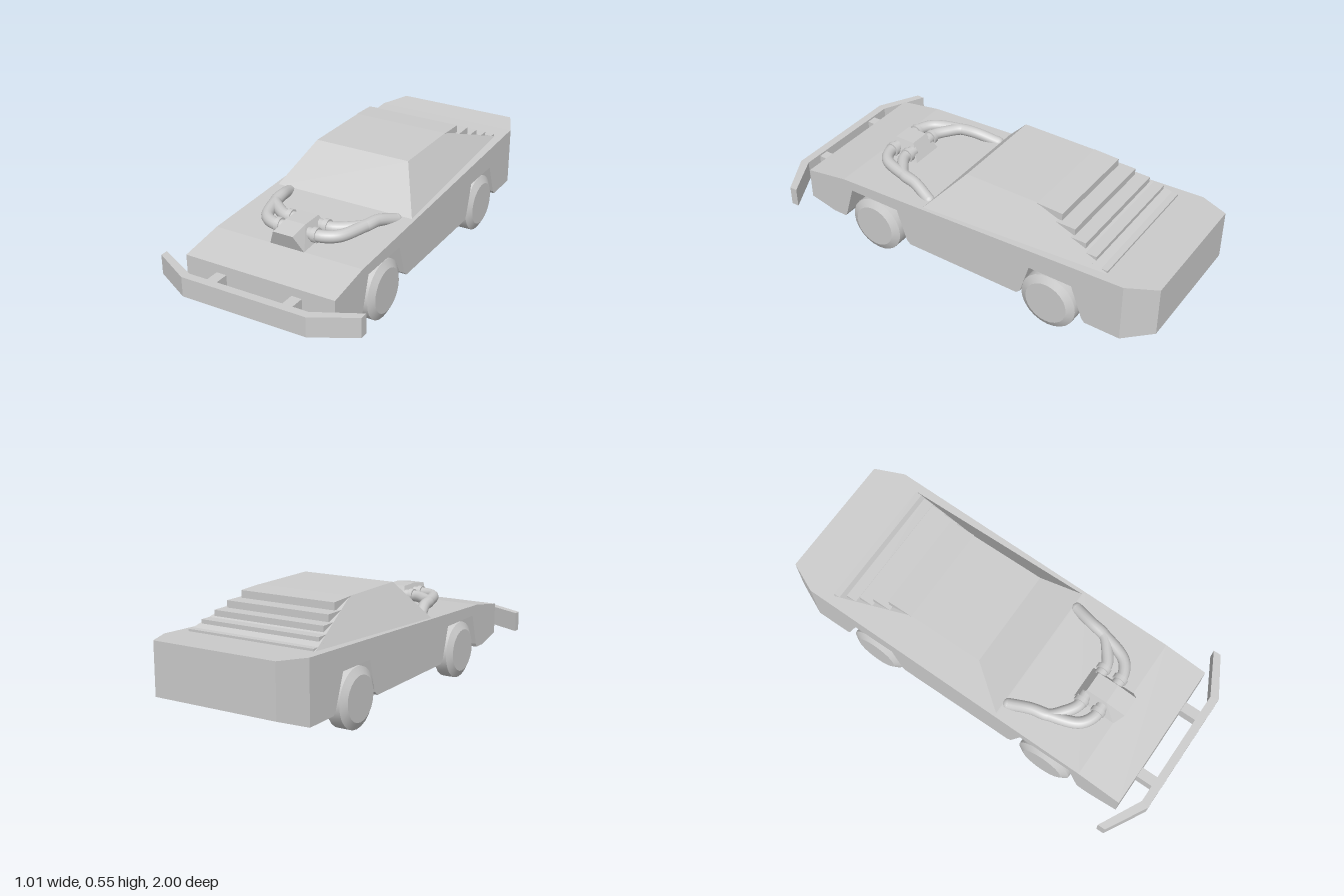
import * as THREE from 'three';
import { toCreasedNormals } from 'three/addons/utils/BufferGeometryUtils.js';
import { ConvexGeometry } from 'three/addons/geometries/ConvexGeometry.js';

const material = new THREE.MeshStandardMaterial({ color: 0xcccccc });

// Side profile of [z, y] points, extruded across the car
function extrudeAcross(points, halfWidth) {
  const shape = new THREE.Shape(points.map(([z, y]) => new THREE.Vector2(z, y)));
  const geo = new THREE.ExtrudeGeometry(shape, { depth: 2 * halfWidth, bevelEnabled: false });
  return geo.rotateY(-Math.PI / 2).translate(halfWidth, 0, 0);
}

// Rescale x of every vertex by a rule of its height and depth
function reshapeX(geo, rule) {
  const p = geo.attributes.position;
  for (let i = 0; i < p.count; i++) p.setX(i, rule(p.getX(i), p.getY(i), p.getZ(i)));
  geo.computeVertexNormals();
  return geo;
}

export function createModel() {
  const group = new THREE.Group();
  const add = (name, geo, parent = group) => {
    const mesh = new THREE.Mesh(geo, material);
    mesh.name = name;
    parent.add(mesh);
    return mesh;
  };

  // Body with wheel arches cut through, and a tapered tail
  add('body', extrudeAcross([
    [0.88, 0.3], [0.88, 0.145], [0.74, 0.112], [0.67, 0.112], [0.66, 0.13], [0.612, 0.287],
    [0.34, 0.287], [0.29, 0.13], [0.27, 0.112], [-0.33, 0.112], [-0.35, 0.13], [-0.395, 0.287],
    [-0.612, 0.287], [-0.67, 0.13], [-0.685, 0.112], [-0.86, 0.112],
    [-0.86, 0.402], [0.2, 0.355], [0.66, 0.335],
  ], 0.375));
  add('tail', reshapeX(extrudeAcross(
    [[-0.86, 0.112], [-1, 0.165], [-1, 0.41], [-0.86, 0.402]], 0.375),
  (x, y, z) => (z < -0.9 ? x * 0.83 : x)));

  // Cabin with sides leaning inward
  const cabinHalf = (y) => 0.355 - (y - 0.36) * 0.6;
  add('cabin', reshapeX(extrudeAcross(
    [[0.2, 0.35], [0.025, 0.545], [-0.35, 0.545], [-0.755, 0.397]], 1),
  (x, y) => Math.sign(x) * cabinHalf(y)));

  // Stepped louvres over the rear window
  const windowY = (z) => 0.545 + (z + 0.35) * 0.365;
  const steps = [[-0.35, -0.48, 0.54], [-0.46, -0.558, 0.505], [-0.54, -0.625, 0.472],
    [-0.61, -0.69, 0.44], [-0.68, -0.757, 0.408]];
  steps.forEach(([z0, z1, y], i) => add('louvre' + (i + 1), extrudeAcross(
    [[z0, i ? y : 0.545], [z0, windowY(z0) - 0.01], [z1, windowY(z1) - 0.01], [z1, y]],
    cabinHalf(y))));

  // Front bumper with swept ends, on two brackets
  const plan = [[-0.505, 0.855], [-0.3, 0.96], [0.3, 0.96], [0.505, 0.855],
    [0.505, 0.893], [0.31, 1], [-0.31, 1], [-0.505, 0.893]];
  const bumper = new THREE.ExtrudeGeometry(
    new THREE.Shape(plan.map(([x, z]) => new THREE.Vector2(x, -z))),
    { depth: 0.095, bevelEnabled: false });
  add('bumper', bumper.rotateX(-Math.PI / 2).translate(0, 0.174, 0));
  for (const s of [-1, 1]) {
    add('bumperBracket', new THREE.BoxGeometry(0.05, 0.075, 0.1)).position.set(0.19 * s, 0.222, 0.92);
  }

  // Wheels and axles
  const wheelProfile = [[0, 0.29], [0.115, 0.29], [0.14, 0.305], [0.14, 0.37], [0.105, 0.39], [0, 0.39]]
    .map(([r, h]) => new THREE.Vector2(r, h));
  for (const z of [0.475, -0.495]) {
    for (const s of [-1, 1]) {
      const wheel = toCreasedNormals(new THREE.LatheGeometry(wheelProfile, 24), 0.4);
      add('wheel', wheel.rotateZ(-s * Math.PI / 2)).position.set(0, 0.14, z);
    }
    add('axle', new THREE.CylinderGeometry(0.048, 0.048, 0.6, 20).rotateZ(Math.PI / 2)).position.set(0, 0.14, z);
  }

  // Air scoop on the bonnet
  const engine = new THREE.Group();
  engine.name = 'engine';
  group.add(engine);
  const corners = [];
  for (const s of [-1, 1]) {
    for (const [x, y, z] of [[0.088, 0.332, 0.435], [0.088, 0.332, 0.66], [0.05, 0.427, 0.485],
      [0.05, 0.427, 0.59], [0.05, 0.412, 0.69]]) corners.push(new THREE.Vector3(x * s, y, z));
  }
  add('airScoop', new ConvexGeometry(corners), engine);

  // Two pipes per side that merge and sweep back into the bonnet
  for (const s of [-1, 1]) {
    for (const z of [0.487, 0.577]) {
      const path = [[0.05, 0.382, z], [0.12, 0.382, z], [0.185, 0.382, z - 0.04],
        [0.235, 0.382, 0.4], [0.253, 0.378, 0.32], [0.287, 0.345, 0.215]]
        .map(([x, y, pz]) => new THREE.Vector3(x * s, y, pz));
      add('pipe', new THREE.TubeGeometry(new THREE.CatmullRomCurve3(path), 32, 0.028, 14), engine);
      add('pipeCollar', new THREE.CylinderGeometry(0.035, 0.035, 0.022, 16).rotateZ(Math.PI / 2), engine)
        .position.set(0.094 * s, 0.382, z);
    }
    const end = add('pipeEnd', new THREE.SphereGeometry(0.028, 14, 10), engine);
    end.position.set(0.287 * s, 0.345, 0.215);
  }
  return group;
}
